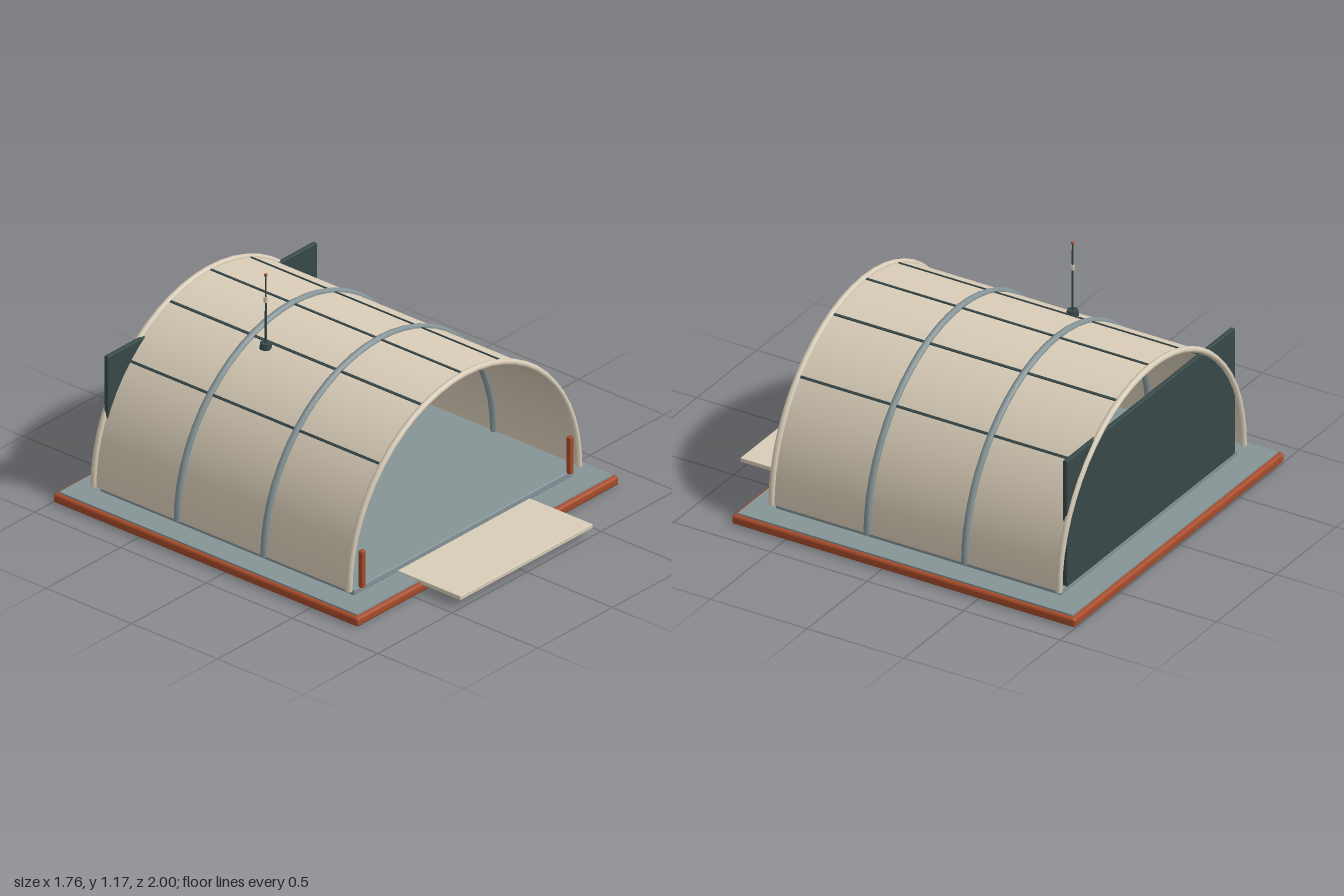
import * as THREE from 'three';
import { RoundedBoxGeometry } from 'three/addons/geometries/RoundedBoxGeometry.js';

const R = 0.772;        // arch radius
const SPRING = 0.09;    // height where the arch starts
const BACK = -0.85, FRONT = 0.635;

function material(name, color, side = THREE.FrontSide) {
  const m = new THREE.MeshStandardMaterial({ color, side });
  m.name = name;
  return m;
}

export function createModel() {
  const model = new THREE.Group();
  model.name = 'archedShelter';

  const beige = material('beige', 0xd9cdb8, THREE.DoubleSide);
  const grey = material('blueGrey', 0x859497);
  const rust = material('rust', 0xa64b2a);
  const dark = material('darkSlate', 0x374849);

  function add(name, geometry, mat, x = 0, y = 0, z = 0) {
    const mesh = new THREE.Mesh(geometry, mat);
    mesh.name = name;
    mesh.position.set(x, y, z);
    model.add(mesh);
    return mesh;
  }
  // Box given by its extents
  function box(name, mat, x0, x1, y0, y1, z0, z1, radius = 0) {
    const size = [x1 - x0, y1 - y0, z1 - z0];
    const geometry = radius
      ? new RoundedBoxGeometry(...size, 2, radius)
      : new THREE.BoxGeometry(...size);
    return add(name, geometry, mat, (x0 + x1) / 2, (y0 + y1) / 2, (z0 + z1) / 2);
  }

  // Ground slab, deck, raised floor and entry ramp
  box('baseSlab', rust, -0.88, 0.88, 0, 0.045, -1, 0.778, 0.014);
  box('deck', grey, -0.86, 0.86, 0.03, 0.053, -0.978, 0.757);
  box('floor', grey, -0.74, 0.74, 0.053, 0.085, -0.845, 0.635, 0.006);
  box('ramp', beige, -0.445, 0.445, 0.038, 0.06, 0.62, 1, 0.004);

  // Barrel roof: an open half cylinder lying along z
  const roof = new THREE.CylinderGeometry(R, R, FRONT - BACK, 32, 1, true, -Math.PI / 2, Math.PI);
  roof.rotateX(-Math.PI / 2);
  add('roofShell', roof, beige, 0, SPRING, (FRONT + BACK) / 2);

  // Arched ribs: pale at the ends, grey between
  const ribs = [
    ['frontRib', FRONT, beige, 0.015], ['middleRibFront', 0.14, grey, 0.017],
    ['middleRibBack', -0.365, grey, 0.017], ['backRib', BACK - 0.003, beige, 0.015],
  ];
  for (const [name, z, mat, thick] of ribs) {
    add(name, new THREE.TorusGeometry(R, thick, 8, 28, Math.PI), mat, 0, SPRING, z);
    for (const side of [-1, 1]) {
      const cap = new THREE.CircleGeometry(thick, 8);
      cap.rotateX(Math.PI / 2);
      add(name + 'End', cap, mat, side * R, SPRING, z);
    }
  }

  // Roof seams
  for (const x of [-0.55, -0.27, 0, 0.27, 0.55]) {
    const angle = Math.asin(x / R);
    const seam = box('roofSeam', dark, -0.006, 0.006, -0.004, 0.004, BACK, FRONT - 0.01);
    seam.position.x = x;
    seam.position.y = SPRING + R * Math.cos(angle);
    seam.rotation.z = -angle;
  }

  // Back wall, its upper corners reaching past the arch
  box('backWall', dark, -0.703, 0.703, 0.08, 0.715, -0.852, -0.83, 0.005);

  // Entrance posts
  for (const side of [-1, 1]) {
    box('entrancePost', rust, side * 0.699 - 0.014, side * 0.699 + 0.014, 0.085, 0.27, 0.635, 0.659, 0.007);
  }

  // Antenna on the roof
  const ax = -0.3, az = -0.26;
  add('antennaFoot', new THREE.CylinderGeometry(0.025, 0.029, 0.028, 16), dark, ax, 0.812, az);
  add('antennaMast', new THREE.CylinderGeometry(0.004, 0.005, 0.35, 8), dark, ax, 0.985, az);
  add('antennaSleeve', new THREE.CylinderGeometry(0.009, 0.009, 0.024, 10), beige, ax, 1.04, az);
  add('antennaTip', new THREE.SphereGeometry(0.008, 12, 8), rust, ax, 1.163, az);

  return model;
}
